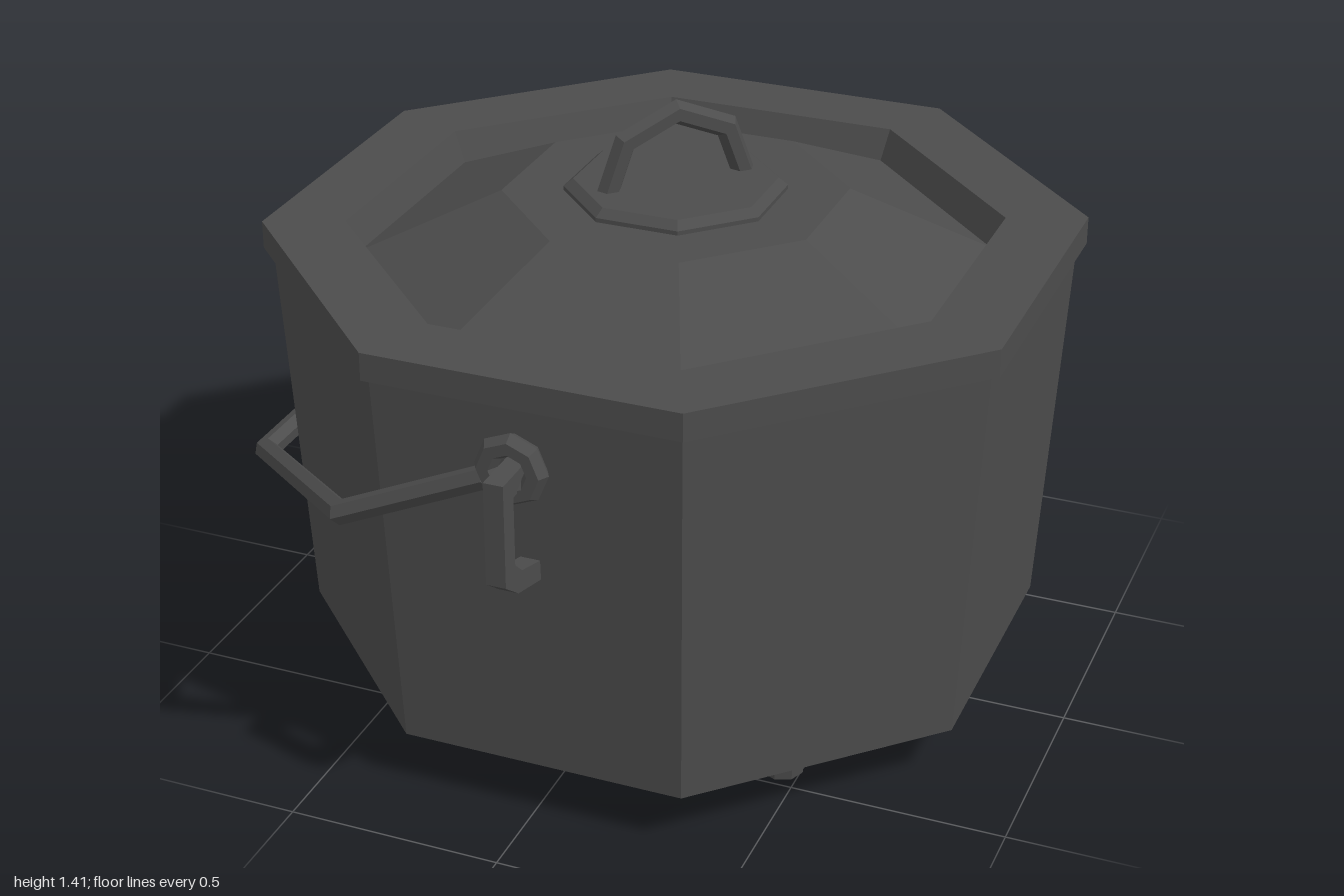
import * as THREE from 'three';

const iron = new THREE.MeshStandardMaterial({ color: 0x4c4c4c });
iron.name = 'cast iron';

// Flat facets: every triangle gets its own normal
function facet(geometry) {
  const g = geometry.index ? geometry.toNonIndexed() : geometry;
  g.computeVertexNormals();
  return g;
}

function part(name, geometry, parent) {
  const mesh = new THREE.Mesh(facet(geometry), iron);
  mesh.name = name;
  parent.add(mesh);
  return mesh;
}

// Octagonal turned solid; profile is [apothem, y] from bottom to top
function octagon(profile) {
  const k = 1 / Math.cos(Math.PI / 8);
  const pts = profile.map(([a, y]) => new THREE.Vector2(a * k, y));
  return new THREE.LatheGeometry(pts, 8, Math.PI / 8);
}

// Mitred bar along a polyline that lies in the plane with normal n
function bar(points, n, radius, sides = 6) {
  const pos = [], index = [];
  const last = points.length - 1;
  points.forEach((p, i) => {
    const a = points[Math.max(i - 1, 0)], b = points[Math.min(i + 1, last)];
    const tIn = p.clone().sub(i ? a : p.clone().sub(b.clone().sub(p))).normalize();
    const tOut = i < last ? b.clone().sub(p).normalize() : tIn;
    const t = tIn.clone().add(tOut).normalize();
    const side = n.clone().cross(t).multiplyScalar(1 / t.dot(tIn));
    for (let j = 0; j < sides; j++) {
      const w = (j / sides) * Math.PI * 2;
      const v = p.clone()
        .addScaledVector(side, Math.cos(w) * radius)
        .addScaledVector(n, Math.sin(w) * radius);
      pos.push(v.x, v.y, v.z);
    }
  });
  for (let i = 0; i < last; i++) {
    for (let j = 0; j < sides; j++) {
      const a = i * sides + j, b = i * sides + (j + 1) % sides;
      index.push(a, b, a + sides, b, b + sides, a + sides);
    }
  }
  for (let j = 1; j < sides - 1; j++) {
    index.push(0, j + 1, j);
    index.push(last * sides, last * sides + j, last * sides + j + 1);
  }
  const g = new THREE.BufferGeometry();
  g.setAttribute('position', new THREE.Float32BufferAttribute(pos, 3));
  g.setIndex(index);
  return g;
}

const V = (x, y, z) => new THREE.Vector3(x, y, z);

export function createModel() {
  const model = new THREE.Group();
  model.name = 'cookingPot';
  const pot = new THREE.Group();
  pot.name = 'pot';
  pot.position.x = 0.02;
  model.add(pot);

  // Tapered body and overhanging rim with a bevelled mouth
  part('body', octagon([[0, 0.13], [0.8, 0.13], [0.85, 1.05]]), pot);
  part('rim', octagon([[0.84, 1.05], [0.87, 1.05], [0.87, 1.115], [0.695, 1.115], [0.66, 1.03]]), pot);

  // Sunken lid with a raised centre and a small stepped plate
  part('lid', octagon([[0.68, 1.035], [0.365, 1.19], [0, 1.19]]), pot);
  part('handlePlate', octagon([[0.235, 1.19], [0.235, 1.2], [0.215, 1.218], [0, 1.218]]), pot);

  // Lid handle: a pointed arch set on the diagonal
  const arch = [[-0.12, 1.2], [-0.088, 1.325], [0, 1.379], [0.088, 1.325], [0.12, 1.2]];
  part('lidHandle', bar(arch.map(([d, y]) => V(d, y, -d)), V(1, 0, 1).normalize(), 0.027), pot);

  // Four tapered feet
  for (const x of [-0.435, 0.435]) {
    for (const z of [-0.435, 0.435]) {
      const foot = part('foot', new THREE.CylinderGeometry(0.065, 0.05, 0.135, 8), pot);
      foot.position.set(x, 0.0675, z);
    }
  }

  // Side brackets and the rings of the bail, front and back
  const outline = [
    [0.82, 0.945], [1, 0.945], [1, 0.705], [0.94, 0.66], [0.82, 0.628],
    [0.82, 0.675], [0.92, 0.705], [0.952, 0.735], [0.952, 0.895], [0.82, 0.895],
  ];
  const shape = new THREE.Shape(outline.map(([z, y]) => new THREE.Vector2(z, y)));
  for (const turn of [0, Math.PI]) {
    const side = new THREE.Group();
    side.name = turn ? 'backMount' : 'frontMount';
    side.rotation.y = turn;
    pot.add(side);
    const bracketGeometry = new THREE.ExtrudeGeometry(shape, { depth: 0.045, bevelEnabled: false });
    bracketGeometry.translate(0, 0, -0.0225).rotateY(-Math.PI / 2);
    part('bracket', bracketGeometry, side);
    const ring = part('bailRing', new THREE.TorusGeometry(0.057, 0.027, 6, 8), side);
    ring.position.set(0, 0.935, 0.91);
  }

  // Bail hanging down on the right side
  const half = [V(-0.04, 0.905, 0.908), V(-0.38, 0.752, 0.918), V(-0.87, 0.53, 0.38)];
  const path = [...half, ...half.map((p) => V(p.x, p.y, -p.z)).reverse()];
  part('bail', bar(path, V(-0.41, 0.912, 0).normalize(), 0.027), model);

  return model;
}
